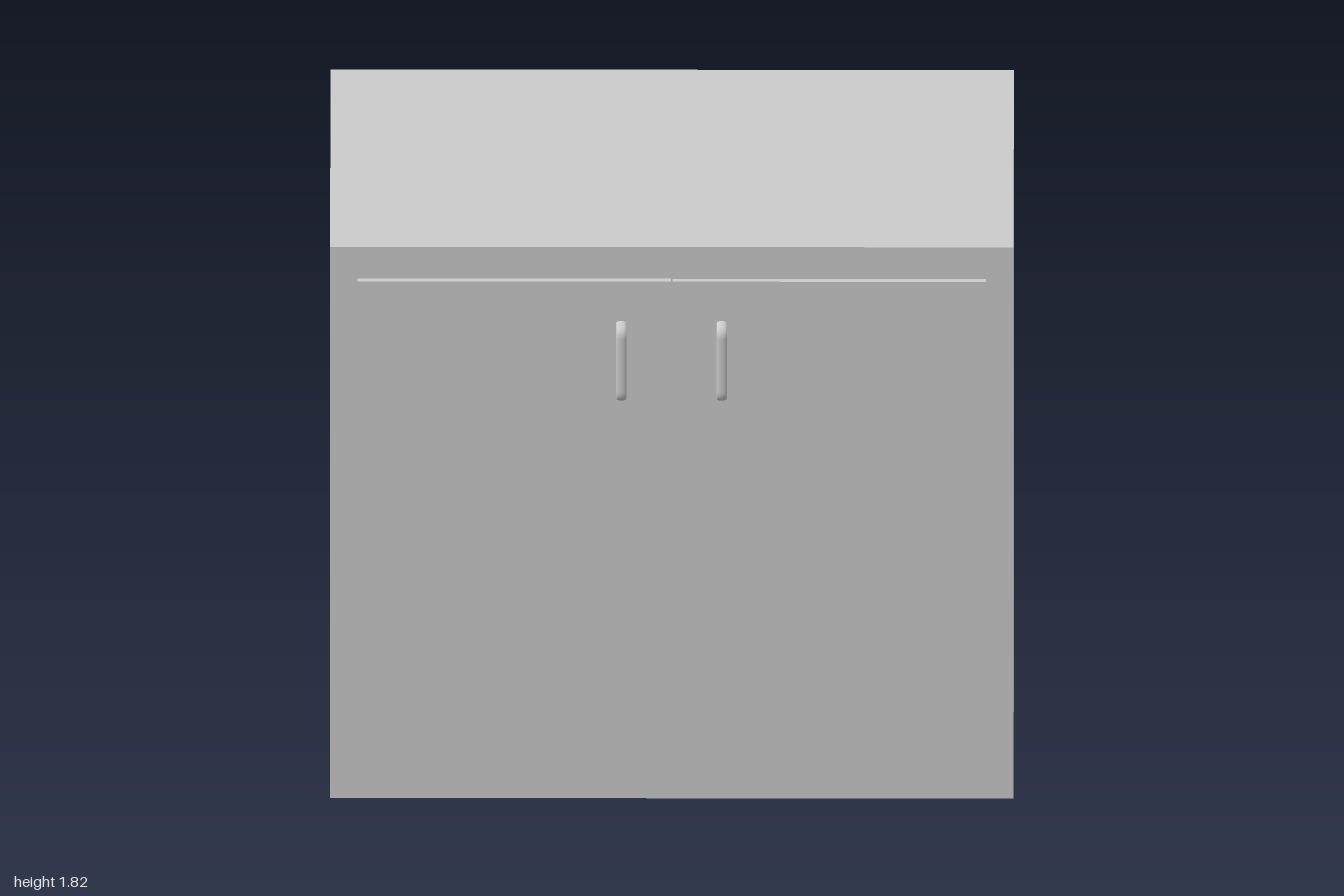
import * as THREE from 'three';

const material = new THREE.MeshStandardMaterial({ color: 0xcccccc });

// Box given by its min and max corners
function box(name, [x0, y0, z0], [x1, y1, z1]) {
  const mesh = new THREE.Mesh(new THREE.BoxGeometry(x1 - x0, y1 - y0, z1 - z0), material);
  mesh.position.set((x0 + x1) / 2, (y0 + y1) / 2, (z0 + z1) / 2);
  mesh.name = name;
  return mesh;
}

// Bow handle: a bent rod, widened sideways into an oval strap
function handleGeometry() {
  const v = (y, z) => new THREE.Vector3(0, y, z);
  const path = new THREE.CurvePath();
  path.add(new THREE.LineCurve3(v(-0.12, 0), v(-0.115, 0.022)));
  path.add(new THREE.QuadraticBezierCurve3(v(-0.115, 0.022), v(-0.108, 0.038), v(-0.085, 0.038)));
  path.add(new THREE.LineCurve3(v(-0.085, 0.038), v(0.085, 0.038)));
  path.add(new THREE.QuadraticBezierCurve3(v(0.085, 0.038), v(0.108, 0.038), v(0.115, 0.022)));
  path.add(new THREE.LineCurve3(v(0.115, 0.022), v(0.12, 0)));
  return new THREE.TubeGeometry(path, 48, 0.006, 12).scale(2.6, 1, 1);
}

export function createModel() {
  const cabinet = new THREE.Group();
  cabinet.name = 'cabinet';

  cabinet.add(box('body', [-1, 0, -0.61], [1, 1.74, 0.53]));
  cabinet.add(box('countertop', [-1, 1.735, -0.61], [1, 1.82, 0.61]));

  // Mirrored pair of doors with handles near the middle
  const handle = handleGeometry();
  for (const [side, s] of [['left', 1], ['right', -1]]) {
    const inner = 0.002 * s, outer = 0.92 * s;
    cabinet.add(box(side + 'Door',
      [Math.min(inner, outer), 0.205, 0.525], [Math.max(inner, outer), 1.68, 0.55]));
    const grip = new THREE.Mesh(handle, material);
    grip.name = side + 'Handle';
    grip.position.set(0.147 * s, 1.427, 0.549);
    cabinet.add(grip);
  }
  return cabinet;
}
